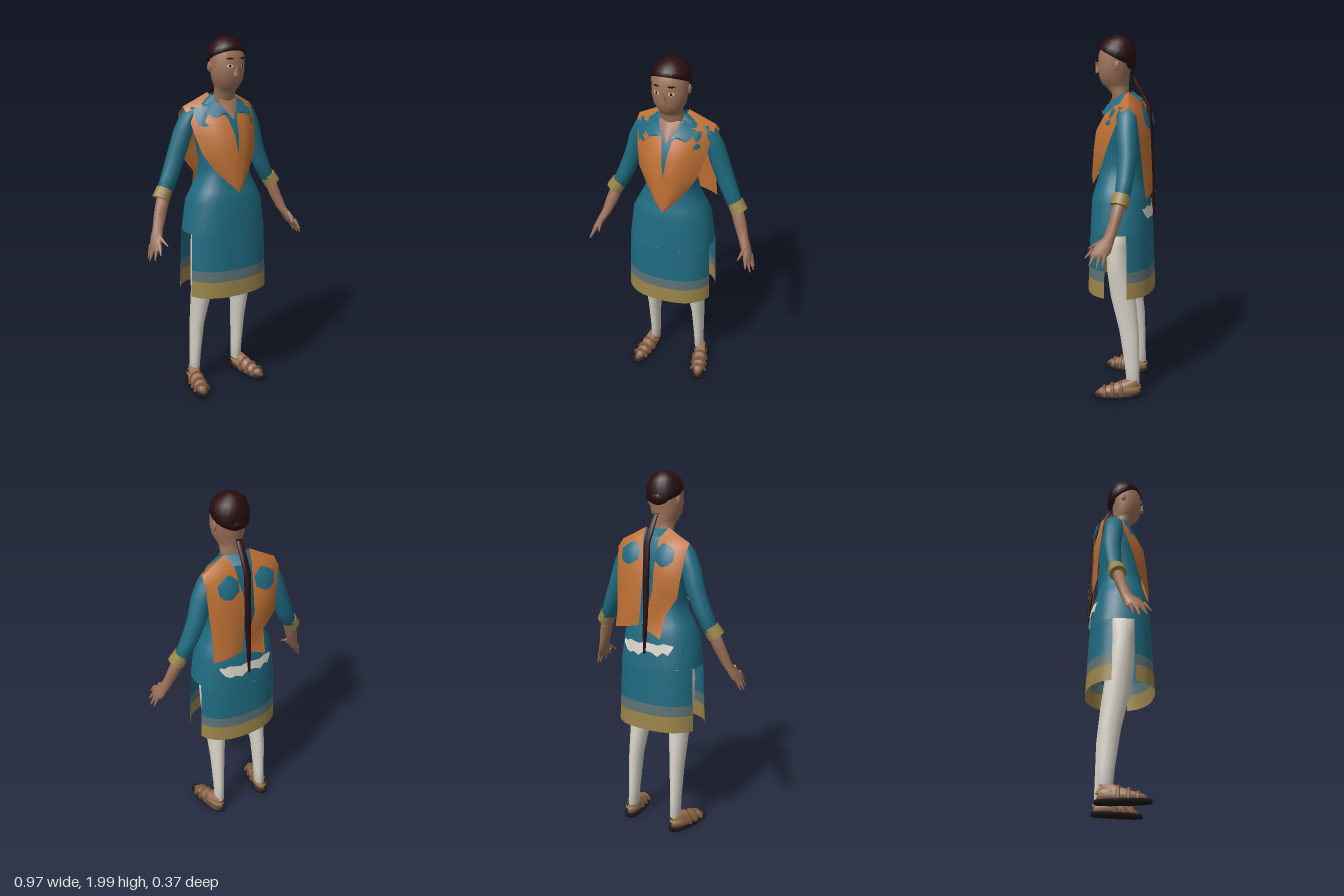
import * as THREE from 'three';

const mat = (name, color, side = THREE.FrontSide) => {
  const m = new THREE.MeshStandardMaterial({ color, side });
  m.name = name;
  return m;
};

const signPow = (v, p) => Math.sign(v) * Math.abs(v) ** p;

// Grid of points -> smooth surface; wrap joins the last column to the first
function gridGeometry(grid, wrap = false) {
  const n = grid[0].length, index = [];
  for (let i = 0; i < grid.length - 1; i++) {
    for (let j = 0; j < (wrap ? n : n - 1); j++) {
      const k = (j + 1) % n, a = i * n + j, b = i * n + k, c = a + n, d = b + n;
      index.push(a, c, b, b, c, d);
    }
  }
  const g = new THREE.BufferGeometry();
  g.setAttribute('position', new THREE.Float32BufferAttribute(grid.flat(2), 3));
  g.setIndex(index);
  g.computeVertexNormals();
  return g;
}

// Rings from bottom to top: [y, cx, cz, rx, rz, tilt]
function loft(rings, { n = 16, pow = 1, from = 0, to = Math.PI * 2, cap = true } = {}) {
  const full = to - from > 6.28;
  const zero = r => [r[0], r[1], r[2], 0, 0, 0];
  const all = full && cap ? [zero(rings[0]), ...rings, zero(rings.at(-1))] : rings;
  return gridGeometry(all.map(([y, cx, cz, rx, rz, tilt = 0]) =>
    Array.from({ length: full ? n : n + 1 }, (_, j) => {
      const t = from + (to - from) * j / n;
      const dz = rz * signPow(Math.sin(t), pow);
      return [cx + rx * signPow(Math.cos(t), pow), y + tilt * dz, cz + dz];
    })), full);
}

// Cloth sheet: each row runs from point a to point b with a bulge along z
function sheet(rows, s = 1, n = 6) {
  return gridGeometry(rows.map(([ax, ay, az, bx, by, bz, bulge = 0]) =>
    Array.from({ length: n + 1 }, (_, j) => {
      const t = j / n;
      return [s * (ax + (bx - ax) * t), ay + (by - ay) * t,
        az + (bz - az) * t + bulge * Math.sin(Math.PI * t)];
    })));
}

// Tapered cylinder from point a to point b
function between(a, b, ra, rb, n = 6) {
  const A = new THREE.Vector3(...a), B = new THREE.Vector3(...b), d = B.clone().sub(A);
  const g = new THREE.CylinderGeometry(rb, ra, d.length(), n);
  g.applyQuaternion(new THREE.Quaternion().setFromUnitVectors(new THREE.Vector3(0, 1, 0), d.normalize()));
  const c = A.add(B).multiplyScalar(0.5);
  return g.translate(c.x, c.y, c.z);
}

export function createModel() {
  const model = new THREE.Group();
  const D = THREE.DoubleSide;
  const teal = mat('teal cloth', 0x1f6a80, D), orange = mat('orange cloth', 0xbd6f34, D);
  const khaki = mat('khaki trim', 0x998349, D), grey = mat('grey trim', 0x5c7174, D);
  const skin = mat('skin', 0x9c7158, D), hair = mat('dark hair', 0x2a0d10);
  const white = mat('white cloth', 0xd8d3c8, D), brown = mat('brown leather', 0x7d5a3c);
  const sole = mat('dark sole', 0x1d1517);
  const add = (name, geometry, material, parent = model) => {
    const m = new THREE.Mesh(geometry, material);
    m.name = name;
    parent.add(m);
    return m;
  };

  // Dress: bodice and hips as one tube, then front and back skirt panels with side slits
  add('bodice', loft([
    [0.97, 0, 0.005, 0.238, 0.17], [1.14, 0, 0.008, 0.215, 0.157], [1.2, 0, 0.01, 0.185, 0.137],
    [1.26, 0, 0.01, 0.152, 0.12], [1.33, 0, 0.01, 0.135, 0.115], [1.45, 0, 0.005, 0.15, 0.122],
    [1.55, 0, -0.005, 0.175, 0.107], [1.62, 0, -0.02, 0.17, 0.08], [1.67, 0, -0.022, 0.11, 0.057],
    [1.7, 0, -0.015, 0.065, 0.035]], { n: 28, pow: 0.85, cap: false }), teal);
  const hem = y => [y, 0, 0.005, 0.238 + (0.97 - y) * 0.035, 0.17 + (0.97 - y) * 0.045];
  for (const [side, start] of [['front', 0], ['back', Math.PI]]) {
    const arc = { n: 16, pow: 0.85, from: start + 0.28, to: start + Math.PI - 0.28 };
    add(side + 'Skirt', loft([hem(0.77), hem(0.87), hem(0.97)], arc), teal);
    add(side + 'GreyBand', loft([hem(0.71), hem(0.77)], arc), grey);
    add(side + 'KhakiBand', loft([hem(0.62), hem(0.71)], arc), khaki);
  }

  // Undershirt showing at the lower back
  const drops = [0.01, 0.05, 0.035, 0.06, 0.04, 0.035, 0.065, 0.05, 0.06, 0.045, 0.01];
  add('undershirtTail', sheet(drops.map((d, i) => {
    const t = Math.PI * 1.5 + (i - 5) * 0.14;
    const x = 0.228 * signPow(Math.cos(t), 0.85), z = 0.006 + 0.17 * signPow(Math.sin(t), 0.85);
    return [x, 1.1 + 0.006 * (i % 3), z + 0.005, x, 1.1 - d, z - 0.004];
  }), 1, 1), white);

  // Vest: mirrored fronts joined over the shoulders to two uneven back panels
  const front = [
    [0, 1.2, 0.17, 0.004, 1.2, 0.168], [0, 1.25, 0.17, 0.055, 1.25, 0.145, 0.01],
    [0, 1.32, 0.165, 0.115, 1.32, 0.1, 0.02], [0, 1.4, 0.16, 0.165, 1.4, 0.07, 0.025],
    [0.012, 1.5, 0.145, 0.19, 1.5, 0.03, 0.03], [0.026, 1.58, 0.1, 0.2, 1.57, 0, 0.025],
    [0.07, 1.65, 0.05, 0.21, 1.62, -0.03, 0.01], [0.07, 1.71, -0.04, 0.21, 1.64, -0.06]];
  const backs = {
    left: [[0.05, 1.66, -0.1, 0.215, 1.6, -0.1, -0.015], [0.02, 1.5, -0.15, 0.21, 1.45, -0.12, -0.02],
      [0.03, 1.3, -0.16, 0.2, 1.25, -0.14, -0.02], [0.04, 1.2, -0.165, 0.205, 1.17, -0.15, -0.015]],
    right: [[0.05, 1.66, -0.1, 0.215, 1.6, -0.1, -0.015], [0.04, 1.5, -0.14, 0.19, 1.45, -0.12, -0.02],
      [0.04, 1.4, -0.15, 0.18, 1.36, -0.13, -0.01], [0.0, 1.26, -0.155, 0.11, 1.27, -0.13],
      [-0.02, 1.19, -0.16, 0.1, 1.14, -0.17]] };

  for (const [side, s] of [['left', 1], ['right', -1]]) {
    const part = (name, geometry, material, parent) =>
      add(side + name, geometry, material, parent);
    part('VestFront', sheet(front, s), orange);
    part('VestBack', sheet([front.at(-1), ...backs[side]], s), orange);
    part('ShoulderBladePatch', sheet([[0.09, 1.64, -0.118, 0.12, 1.63, -0.118],
      [0.045, 1.6, -0.134, 0.165, 1.6, -0.13, -0.012], [0.05, 1.55, -0.148, 0.16, 1.55, -0.142, -0.012],
      [0.1, 1.52, -0.16, 0.14, 1.53, -0.155]], s), teal);

    // Shirt collar
    part('Collar', sheet([[0, 1.705, -0.055, 0, 1.67, -0.11], [0.06, 1.705, -0.04, 0.1, 1.66, -0.075],
      [0.07, 1.69, 0, 0.13, 1.655, 0], [0.062, 1.665, 0.045, 0.13, 1.61, 0.06],
      [0.045, 1.64, 0.08, 0.1, 1.59, 0.095], [0.018, 1.6, 0.108, 0.055, 1.615, 0.105]], s), teal);

    // Arm
    part('Sleeve', loft([[1.19, s * 0.338, -0.045, 0.045, 0.04], [1.29, s * 0.292, -0.055, 0.05, 0.045],
      [1.41, s * 0.245, -0.06, 0.052, 0.05], [1.52, s * 0.212, -0.05, 0.052, 0.055],
      [1.6, s * 0.182, -0.045, 0.042, 0.05], [1.64, s * 0.15, -0.04, 0.03, 0.04]], { n: 12 }), teal);
    part('Cuff', between([s * 0.364, 1.165, -0.035], [s * 0.334, 1.215, -0.045], 0.047, 0.044, 12), khaki);
    part('Forearm', loft([[0.92, s * 0.455, 0.055, 0.012, 0.04], [0.94, s * 0.445, 0.045, 0.02, 0.052],
      [0.98, s * 0.427, 0.028, 0.025, 0.045], [1.02, s * 0.405, 0.003, 0.028, 0.03],
      [1.1, s * 0.375, -0.02, 0.036, 0.03], [1.2, s * 0.34, -0.04, 0.036, 0.034]], { n: 10 }), skin);
    [[0.425, 0.99, 0.05, 0.405, 0.95, 0.115], [0.44, 0.955, 0.085, 0.453, 0.91, 0.125],
      [0.448, 0.94, 0.07, 0.475, 0.88, 0.1], [0.455, 0.935, 0.045, 0.485, 0.87, 0.06],
      [0.455, 0.94, 0.02, 0.48, 0.875, 0.03]].forEach(([ax, ay, az, bx, by, bz], i) =>
      part('Finger' + (i + 1), between([s * ax, ay, az], [s * bx, by, bz], 0.014, 0.003), skin));

    // Leg
    part('Leg', loft([[0.09, s * 0.145, -0.08, 0.026, 0.038], [0.2, s * 0.143, -0.073, 0.029, 0.042],
      [0.4, s * 0.14, -0.055, 0.037, 0.055], [0.6, s * 0.13, -0.02, 0.055, 0.07],
      [0.75, s * 0.125, 0, 0.075, 0.07], [0.9, s * 0.115, 0.01, 0.09, 0.065],
      [1.05, s * 0.09, 0, 0.09, 0.08]]), white);

    // Foot and sandal, toes turned out
    const foot = new THREE.Group();
    foot.name = side + 'Foot';
    foot.position.set(s * 0.175, 0, 0.005);
    foot.rotation.y = s * 0.2;
    model.add(foot);
    part('Sole', loft([[0.015, 0, 0, 0.046, 0.142], [0.035, 0, 0, 0.046, 0.142]], { pow: 0.8 }), sole, foot);
    part('FootTop', loft([[0.036, 0, 0, 0.04, 0.132], [0.06, 0, -0.012, 0.037, 0.112],
      [0.085, 0, -0.045, 0.032, 0.07], [0.11, 0, -0.08, 0.026, 0.037]]), skin, foot);
    for (const [z, h] of [[0.075, 0.9], [0.03, 1.25], [-0.02, 1.5]]) {
      const strap = part('Strap', new THREE.TorusGeometry(0.042, 0.008, 5, 12, Math.PI), brown, foot);
      strap.position.set(0, 0.034, z);
      strap.scale.set(1, h, 1.4);
    }
    part('HeelStrap', loft([[0.065, 0, -0.075, 0.04, 0.06], [0.08, 0, -0.075, 0.037, 0.055]],
      { cap: false }), khaki, foot);

    // Face details
    const eye = (name, r, y, z, material, sy) => {
      const m = part(name, new THREE.CircleGeometry(r, 12), material);
      m.position.set(s * 0.038, y, z);
      m.scale.y = sy;
      m.rotation.y = s * 0.4;
    };
    eye('Eye', 0.016, 1.853, 0.133, white, 0.55);
    eye('Pupil', 0.007, 1.853, 0.135, hair, 1);
    eye('Brow', 0.02, 1.89, 0.134, hair, 0.25);
    const ear = part('Ear', new THREE.SphereGeometry(0.024, 8, 6), skin);
    ear.position.set(s * 0.092, 1.845, 0.02);
    ear.scale.set(0.4, 1.1, 0.7);
  }
  add('frontShoulderPatch', sheet([[-0.16, 1.545, 0.062, -0.172, 1.55, 0.05],
    [-0.13, 1.6, 0.06, -0.185, 1.6, 0.018, 0.006], [-0.1, 1.65, 0.048, -0.17, 1.64, 0, 0.006]]), teal);

  // Open neckline, neck and head
  add('chest', sheet([[-0.06, 1.68, 0.045, 0.06, 1.68, 0.045, 0.01],
    [-0.04, 1.63, 0.075, 0.04, 1.63, 0.075, 0.01], [0, 1.575, 0.115, 0, 1.575, 0.115]]), skin);
  add('head', loft([[1.6, 0, 0.005, 0.065, 0.055], [1.7, 0, 0.015, 0.06, 0.046],
    [1.73, 0, 0.03, 0.058, 0.062], [1.745, 0, 0.04, 0.064, 0.072], [1.78, 0, 0.047, 0.083, 0.08],
    [1.83, 0, 0.047, 0.092, 0.088], [1.9, 0, 0.04, 0.094, 0.09], [1.95, 0, 0.03, 0.082, 0.08],
    [1.98, 0, 0.02, 0.05, 0.05]], { n: 20 }), skin);
  const nose = add('nose', new THREE.ConeGeometry(0.018, 0.06, 6), skin);
  nose.position.set(0, 1.835, 0.14);
  nose.rotation.x = 0.25;
  const mouth = add('mouth', new THREE.CircleGeometry(0.022, 10), brown);
  mouth.position.set(0, 1.783, 0.13);
  mouth.scale.y = 0.3;

  // Hair cap, nape knot and long braid
  add('hair', loft([[1.885, 0, 0.03, 0.099, 0.097, 0.5], [1.925, 0, 0.025, 0.096, 0.094, 0.3],
    [1.965, 0, 0.02, 0.075, 0.077, 0.12], [1.988, 0, 0.02, 0.045, 0.048, 0.05],
    [2, 0, 0.02, 0.012, 0.012]], { n: 20 }), hair);
  const knot = add('napeKnot', new THREE.SphereGeometry(0.05, 10, 8), hair);
  knot.position.set(0, 1.862, -0.03);
  knot.scale.set(1.2, 0.8, 0.85);
  add('braid', loft([[1.05, 0, -0.172, 0.006, 0.005], [1.15, 0, -0.165, 0.012, 0.011],
    [1.3, 0, -0.155, 0.016, 0.014], [1.45, 0, -0.15, 0.018, 0.015], [1.635, 0, -0.14, 0.02, 0.014],
    [1.71, 0, -0.1, 0.02, 0.014], [1.78, 0, -0.06, 0.018, 0.012]], { n: 8 }), hair);
  return model;
}
